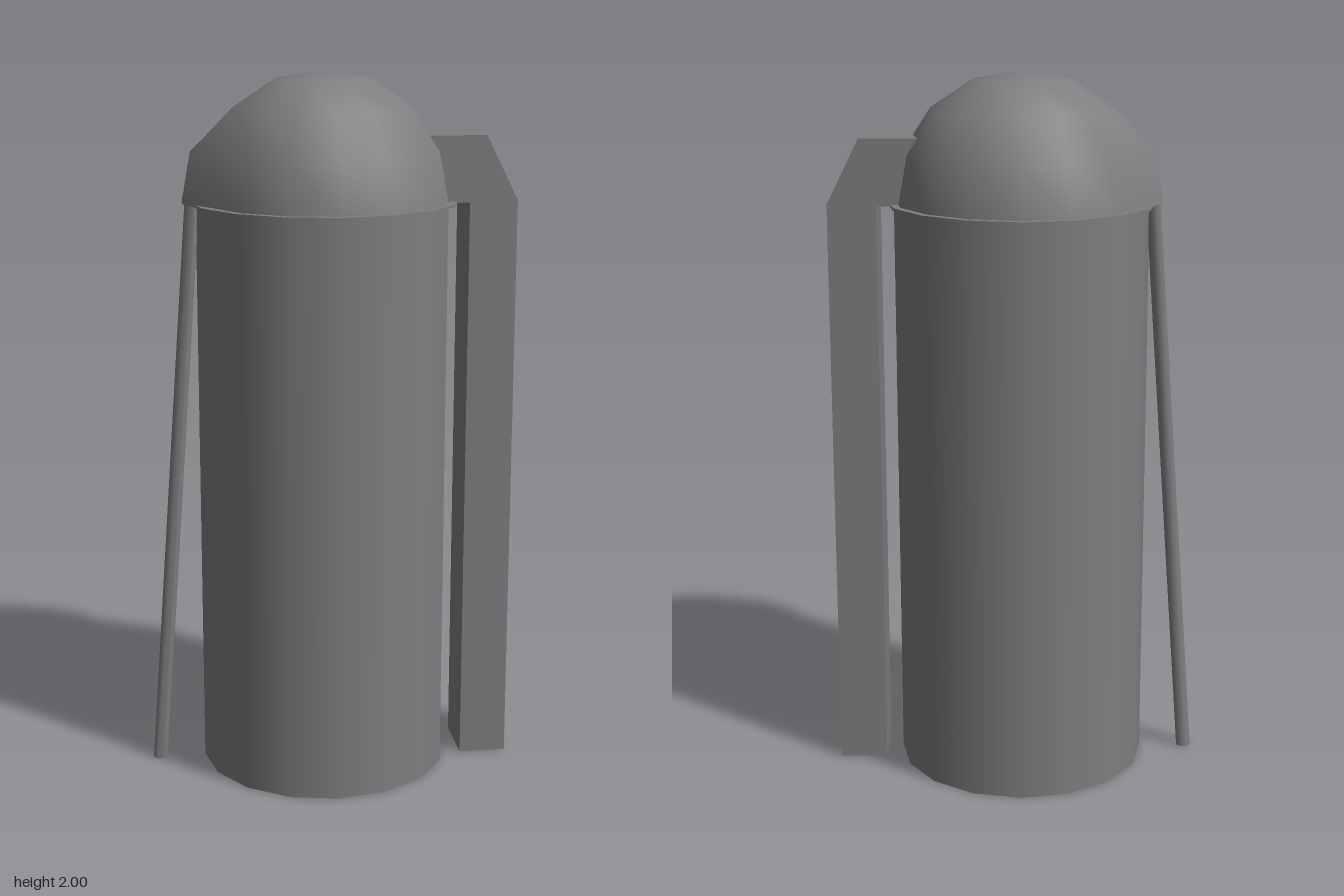
import * as THREE from 'three';
import { mergeVertices } from 'three/addons/utils/BufferGeometryUtils.js';

const CX = -0.013;     // axis of the tower
const SIDES = 16;
const RIM_Y = 1.64;    // where the wall meets the dome

// Dome of lathe rings, its two lowest rings pinched into a narrow beak on the -x side
function domeGeometry() {
  const rings = [[0.355, RIM_Y], [0.329, 1.78], [0.251, 1.9], [0.136, 1.976], [0, 2]];
  let geo = new THREE.LatheGeometry(rings.map(([r, y]) => new THREE.Vector2(r, y)), SIDES);
  const pos = geo.attributes.position;
  for (let i = 0; i < pos.count; i++) {
    const x = pos.getX(i), y = pos.getY(i), z = pos.getZ(i);
    if (y > 1.8 || x > -0.8 * Math.hypot(x, z)) continue;
    const low = y < 1.7;
    pos.setX(i, (low ? -0.405 : -0.38) - CX);
    pos.setZ(i, Math.abs(z) < 0.01 ? 0 : Math.sign(z) * (low ? 0.026 : 0.021));
  }
  geo.deleteAttribute('normal');
  geo.deleteAttribute('uv');
  geo = mergeVertices(geo, 1e-4);
  geo.computeVertexNormals();
  return geo;
}

// Square duct bent into the dome, open at the foot
function ductGeometry() {
  const outline = [[0.385, 0], [0.52, 0], [0.52, 1.645], [0.43, 1.825], [0.25, 1.825], [0.25, RIM_Y], [0.385, RIM_Y]];
  const shape = new THREE.Shape(outline.map(([x, y]) => new THREE.Vector2(x, y)));
  const solid = new THREE.ExtrudeGeometry(shape, { depth: 0.176, bevelEnabled: false });
  solid.translate(0, 0, -0.088);
  const src = solid.attributes.position, kept = [];
  for (let i = 0; i < src.count; i += 3) {
    const foot = [0, 1, 2].every(k => src.getY(i + k) < 1e-5);
    if (!foot) for (let k = 0; k < 3; k++) kept.push(src.getX(i + k), src.getY(i + k), src.getZ(i + k));
  }
  const geo = new THREE.BufferGeometry();
  geo.setAttribute('position', new THREE.Float32BufferAttribute(kept, 3));
  geo.computeVertexNormals();
  return geo;
}

// Thin leaning pipe with level ends, made by shearing an upright one
function pipeGeometry() {
  const geo = new THREE.CylinderGeometry(0.0215, 0.0215, 1.65, 8, 1, true, Math.PI / 8);
  geo.translate(0, 0.825, 0);
  const lean = new THREE.Matrix4().makeShear(0, 0, 0.074, 0, 0, 0);
  const pos = geo.attributes.position;
  for (let i = 0; i < pos.count; i++) pos.setX(i, pos.getX(i) + lean.elements[4] * pos.getY(i));
  geo.translate(-0.5, 0, 0);
  geo.computeVertexNormals();
  return geo;
}

export function createModel() {
  const group = new THREE.Group();
  group.name = 'silo';
  const metal = new THREE.MeshStandardMaterial({ color: 0x7f7d7f, side: THREE.DoubleSide });
  metal.name = 'grey metal';

  const add = (name, geo, x = 0, y = 0) => {
    const mesh = new THREE.Mesh(geo, metal);
    mesh.name = name;
    mesh.position.set(x, y, 0);
    group.add(mesh);
  };

  // Tower wall, open at the foot
  add('wall', new THREE.CylinderGeometry(0.355, 0.355, RIM_Y, SIDES, 1, true), CX, RIM_Y / 2);
  // Thin ledge under the dome
  add('rim', new THREE.CylinderGeometry(0.375, 0.375, 0.008, SIDES), CX, RIM_Y);
  add('dome', domeGeometry(), CX);
  add('duct', ductGeometry());
  add('pipe', pipeGeometry());
  return group;
}
